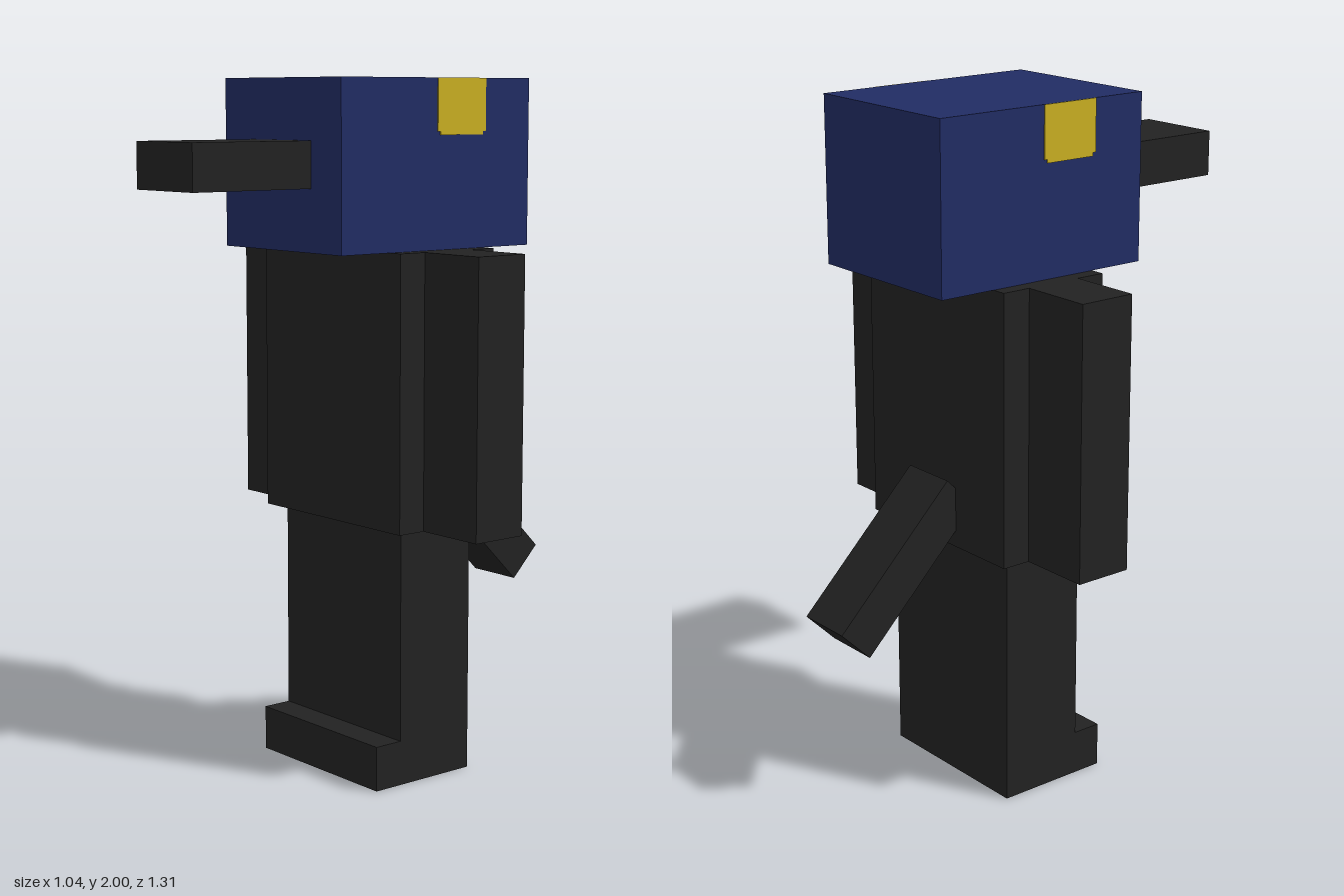
import * as THREE from 'three';

export function createModel() {
  const model = new THREE.Group();
  const make = (name, color) => {
    const m = new THREE.MeshStandardMaterial({ color });
    m.name = name;
    return m;
  };
  const black = make('charcoal', 0x222222);
  const blue = make('navy', 0x212c64);
  const yellow = make('yellow', 0xc9af22);

  // Box given by its lower and upper limits on each axis
  function block(name, material, [x0, x1], [y0, y1], [z0, z1]) {
    const mesh = new THREE.Mesh(new THREE.BoxGeometry(x1 - x0, y1 - y0, z1 - z0), material);
    mesh.position.set((x0 + x1) / 2, (y0 + y1) / 2, (z0 + z1) / 2);
    mesh.name = name;
    model.add(mesh);
    return mesh;
  }

  // Head, beak and body
  block('head', blue, [-0.26, 0.26], [1.525, 2], [-0.43, 0.263]);
  block('beak', black, [-0.13, 0.13], [1.70, 1.83], [0.263, 0.655]);
  block('torso', black, [-0.303, 0.303], [0.742, 1.525], [-0.257, 0.09]);
  block('legs', black, [-0.26, 0.26], [0, 0.742], [-0.212, 0.048]);
  block('feet', black, [-0.26, 0.26], [0, 0.13], [0.048, 0.136]);

  // Wings
  block('leftWing', black, [0.303, 0.52], [0.742, 1.525], [-0.17, 0.002]);
  block('rightWing', black, [-0.52, -0.303], [0.742, 1.525], [-0.17, 0.002]);

  // Tail, sloping down and back
  const tail = block('tail', black, [-0.087, 0.087], [0.652, 0.782], [-0.685, -0.163]);
  tail.position.set(0, 0.716, -0.424);
  tail.rotation.x = -Math.PI / 4;

  // Head patches with clipped lower corners
  const w = 0.09, h = 0.157, c = 0.01;
  const outline = new THREE.Shape([
    [-w, 0], [-w, -h + c], [-w + c, -h + c], [-w + c, -h],
    [w - c, -h], [w - c, -h + c], [w, -h + c], [w, 0],
  ].map(([x, y]) => new THREE.Vector2(x, y)));
  const patchGeometry = new THREE.ExtrudeGeometry(outline, { depth: 0.003, bevelEnabled: false });
  for (const [name, side, z] of [['leftPatch', 1, -0.17], ['rightPatch', -1, 0.005]]) {
    const patch = new THREE.Mesh(patchGeometry, yellow);
    patch.name = name;
    patch.position.set(side * 0.26, 2, z);
    patch.rotation.y = side * Math.PI / 2;
    model.add(patch);
  }

  return model;
}
